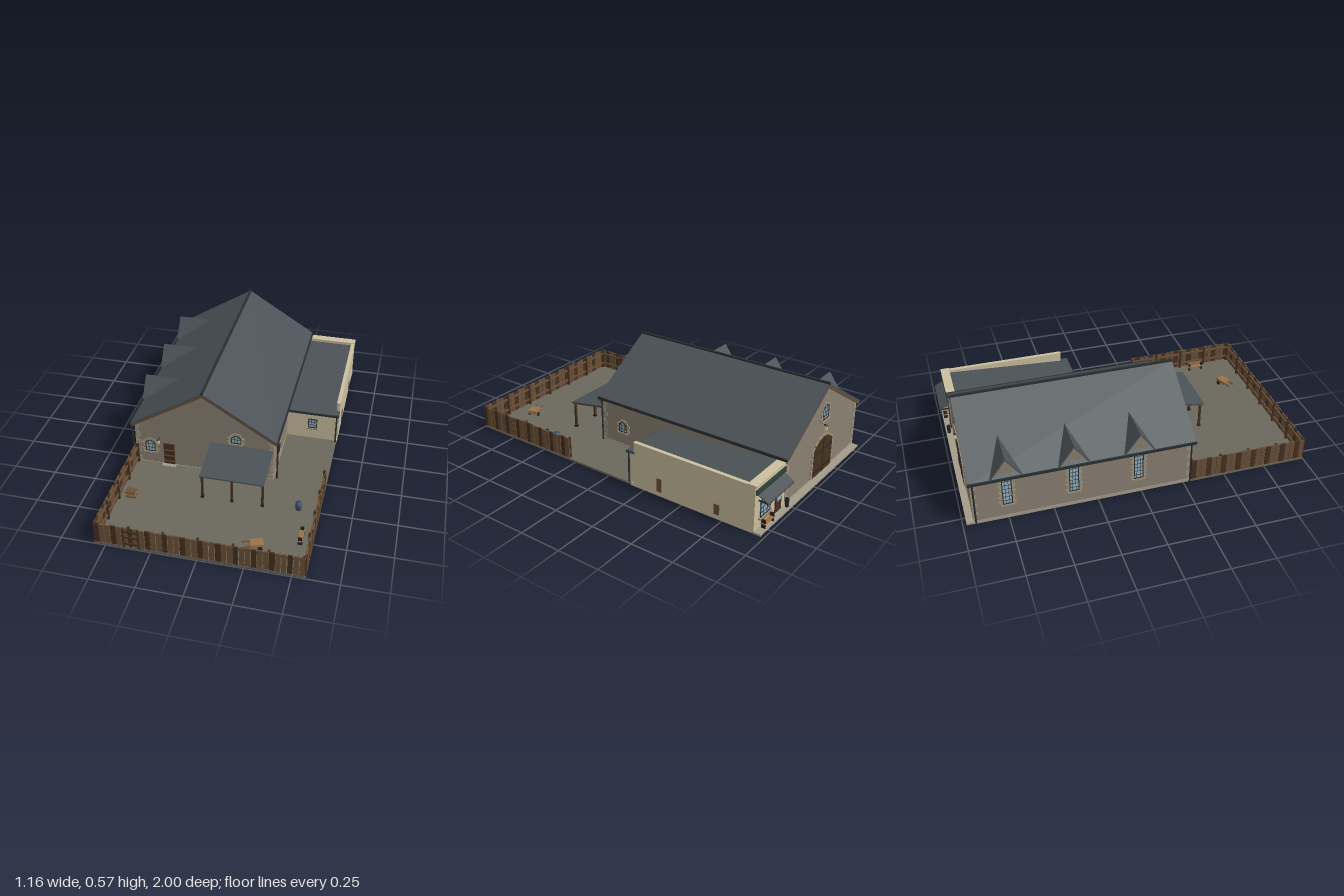
import * as THREE from 'three';

const C = {
  stone: 0x8a8071, quoin: 0x9c8f78, cream: 0xcbbf9f, roof: 0x4b5257, trim: 0x2b2f31, wood: 0x6a5038,
  darkWood: 0x46301f, oak: 0x9a7248, ground: 0x6b675c, floor: 0x55483a, glass: 0x8fb0c0, green: 0x2f4238,
  iron: 0x222426, lamp: 0xf0d890, barrel: 0x3a5068, paving: 0xa59c8a,
};
const mats = {};
const mat = (c) => (mats[c] ??= new THREE.MeshStandardMaterial({ color: C[c], side: THREE.DoubleSide }));
const add = (parent, name, color, geo, x = 0, y = 0, z = 0) => {
  const m = new THREE.Mesh(geo, mat(color));
  m.name = name;
  m.position.set(x, y, z);
  parent.add(m);
  return m;
};
// box given by its extents
const box = (p, name, color, x0, x1, y0, y1, z0, z1) =>
  add(p, name, color, new THREE.BoxGeometry(x1 - x0, y1 - y0, z1 - z0), (x0 + x1) / 2, (y0 + y1) / 2, (z0 + z1) / 2);
const group = (p, name, x = 0, y = 0, z = 0, ry = 0) => {
  const g = new THREE.Group();
  g.name = name;
  g.position.set(x, y, z);
  g.rotation.y = ry;
  p.add(g);
  return g;
};
const poly = (pts) => new THREE.Shape(pts.map(([x, y]) => new THREE.Vector2(x, y)));
const extrude = (shape, depth) => new THREE.ExtrudeGeometry(shape, { depth, bevelEnabled: false, curveSegments: 8 });
const pipe = (p, name, x, y0, y1, z, r = 0.005) =>
  add(p, name, 'trim', new THREE.CylinderGeometry(r, r, y1 - y0, 8), x, (y0 + y1) / 2, z);
const arch = (w, h, rise) => {
  const s = new THREE.Shape();
  s.moveTo(-w / 2, 0).lineTo(w / 2, 0).lineTo(w / 2, h - rise);
  s.quadraticCurveTo(0, h + rise, -w / 2, h - rise).lineTo(-w / 2, 0);
  return s;
};
let seed = 7;
const rand = () => (seed = (seed * 16807) % 2147483647) / 2147483647;

// toothed stones up both jambs and around the arch
function surround(g, w, h, rise) {
  const n = Math.max(3, Math.round((h - rise) / 0.018)), sh = (h - rise) / n;
  for (let i = 0; i < n; i++) for (const s of [-1, 1]) {
    const len = i % 2 ? 0.012 : 0.02, a = s * w / 2, b = s * (w / 2 + len);
    box(g, 'jambStone', 'quoin', Math.min(a, b), Math.max(a, b), i * sh + 0.001, (i + 1) * sh - 0.001, -0.004, 0.005);
  }
  for (let i = 0; i <= 6; i++) {
    const t = i / 6, u = 2 * t - 1;
    const m = add(g, 'archStone', 'quoin', new THREE.BoxGeometry(w / 6, 0.016, 0.009),
      u * w / 2, h - rise * u * u + 0.006, 0.0005);
    m.rotation.z = -Math.atan(4 * rise * u / w);
  }
}
function windowUnit(p, x, y, z, ry, w, h, rise, stones = true) {
  const g = group(p, 'window', x, y, z, ry);
  add(g, 'glass', 'glass', extrude(arch(w, h, rise), 0.003));
  const frame = arch(w, h, rise), hole = arch(w - 0.01, h - 0.01, rise);
  frame.holes.push(new THREE.Path(hole.getPoints(8).map((v) => v.setY(v.y + 0.005))));
  add(g, 'frame', 'trim', extrude(frame, 0.006));
  for (const t of [-1, 1]) box(g, 'mullion', 'trim', t * w / 6 - 0.001, t * w / 6 + 0.001, 0, h - rise * 0.2, 0, 0.005);
  const rows = Math.max(2, Math.round(h / 0.025));
  for (let i = 1; i < rows; i++) box(g, 'glazingBar', 'trim', -w / 2, w / 2, h * i / rows - 0.001, h * i / rows + 0.001, 0, 0.005);
  box(g, 'sill', 'quoin', -w / 2 - 0.01, w / 2 + 0.01, -0.008, 0, -0.004, 0.012);
  if (stones) surround(g, w, h, rise);
}
function lantern(p, x, y, z, ry) {
  const g = group(p, 'lantern', x, y, z, ry);
  box(g, 'bracket', 'iron', -0.003, 0.003, 0.012, 0.018, 0, 0.016);
  box(g, 'lampGlass', 'lamp', -0.006, 0.006, -0.015, 0.01, 0.008, 0.02);
  add(g, 'lampCap', 'iron', new THREE.ConeGeometry(0.012, 0.012, 4), 0, 0.016, 0.014).rotation.y = Math.PI / 4;
}
function fenceRun(p, x, z, ry, len, gate) {
  const g = group(p, 'fence', x, 0, z, ry);
  const n = Math.round(len / 0.031), step = len / n;
  for (let i = 0; i < n; i++) {
    const a = i * step, w = step - 0.001 - rand() * 0.005;
    box(g, 'plank', i % 3 ? 'wood' : 'darkWood', a, a + w, 0.015, 0.137 + rand() * 0.006, -0.004, 0.004);
  }
  for (const y of [0.04, 0.11]) box(g, 'rail', 'wood', 0, len, y, y + 0.012, -0.012, -0.004);
  const posts = Math.round(len / 0.19);
  for (let i = 0; i <= posts; i++) {
    const a = 0.006 + i * (len - 0.012) / posts;
    box(g, 'fencePost', 'darkWood', a - 0.006, a + 0.006, 0.01, 0.143, -0.016, -0.004);
  }
  if (gate) {
    for (const y of [0.03, 0.075, 0.115]) box(g, 'gateRail', 'darkWood', gate - 0.04, gate + 0.04, y, y + 0.01, 0.004, 0.009);
    for (const s of [-1, 1]) box(g, 'gateStile', 'darkWood', gate + s * 0.042 - 0.004, gate + s * 0.042 + 0.004, 0.01, 0.145, 0.003, 0.01);
  }
}
function bench(p, x, z, ry, len) {
  const g = group(p, 'bench', x, 0.012, z, ry);
  box(g, 'seat', 'oak', -len / 2, len / 2, 0.024, 0.029, -0.012, 0.014);
  box(g, 'backrest', 'oak', -len / 2, len / 2, 0.038, 0.055, -0.014, -0.01);
  for (const s of [-1, 1]) box(g, 'benchLeg', 'iron', s * len * 0.42 - 0.003, s * len * 0.42 + 0.003, 0, 0.05, -0.012, 0.012);
}

function barn(root) {
  const g = group(root, 'barn', -0.147, 0, 0);
  const ring = poly([[-0.412, -0.292], [0.412, -0.292], [0.412, 0.942], [-0.412, 0.942]]);
  ring.holes.push(poly([[-0.38, -0.26], [0.38, -0.26], [0.38, 0.91], [-0.38, 0.91]]));
  add(g, 'footing', 'paving', extrude(ring, 0.02)).rotation.x = -Math.PI / 2;
  box(g, 'floor', 'ground', -0.385, 0.385, 0.008, 0.018, -0.915, 0.265);
  add(g, 'walls', 'stone', extrude(poly([[-0.41, 0.018], [0.41, 0.018], [0.41, 0.292], [0, 0.546], [-0.41, 0.292]]), 1.23), 0, 0, -0.94);
  const chevron = (top, t, w) => poly([[-w, top - 0.62 * w], [0, top], [w, top - 0.62 * w], [w, top - 0.62 * w - t], [0, top - t], [-w, top - 0.62 * w - t]]);
  add(g, 'roof', 'roof', extrude(chevron(0.56, 0.012, 0.436), 1.262), 0, 0, -0.954);
  for (const z of [-0.952, 0.29]) add(g, 'bargeBoard', 'wood', extrude(chevron(0.551, 0.017, 0.43), 0.016), 0, 0, z);
  box(g, 'ridgeCap', 'trim', -0.007, 0.007, 0.552, 0.566, -0.955, 0.309);
  for (const s of [-1, 1]) {
    box(g, 'gutter', 'trim', s * 0.432 - 0.006, s * 0.432 + 0.006, 0.28, 0.294, -0.954, 0.308);
    for (const z of [-0.93, 0.28]) pipe(g, 'downpipe', s * 0.432, 0.02, 0.285, z);
    // corner quoins
    for (const z of [-0.94, 0.29]) for (let i = 0; i < 9; i++) {
      const a = i % 2 ? 0.018 : 0.032, b = i % 2 ? 0.032 : 0.018, f = Math.sign(z);
      box(g, 'quoin', 'quoin', s * (0.412 - a / 2) - a / 2, s * (0.412 - a / 2) + a / 2, 0.024 + i * 0.029, 0.05 + i * 0.029,
        z - f * (b / 2 - 0.003) - b / 2, z - f * (b / 2 - 0.003) + b / 2);
    }
  }
  // dormers over tall windows
  for (const z of [-0.75, -0.385, -0.02]) {
    const d = group(g, 'dormer', -0.436, 0, z);
    add(d, 'dormerGable', 'stone', extrude(poly([[-0.075, 0.28], [0.075, 0.28], [0, 0.405]]), 0.12), 0.026, 0, 0).rotation.y = Math.PI / 2;
    for (const s of [-1, 1]) {
      const geo = new THREE.BufferGeometry();
      geo.setAttribute('position', new THREE.Float32BufferAttribute(
        [0, 0.42, 0, 0.21, 0.42, 0, 0, 0.296, s * 0.09, 0, 0.408, 0, 0.21, 0.408, 0, 0, 0.284, s * 0.09], 3));
      geo.setIndex(s > 0 ? [0, 2, 1, 3, 4, 5, 0, 3, 5, 0, 5, 2] : [0, 1, 2, 3, 5, 4, 0, 5, 3, 0, 2, 5]);
      const flat = geo.toNonIndexed();
      flat.computeVertexNormals();
      add(d, 'dormerRoof', 'roof', flat);
    }
    windowUnit(g, -0.411, 0.1, z, -Math.PI / 2, 0.055, 0.18, 0.015);
  }
  // front, side and rear openings
  windowUnit(g, -0.323, 0.1, 0.291, 0, 0.06, 0.08, 0.018);
  windowUnit(g, 0.193, 0.24, 0.291, 0, 0.06, 0.056, 0.018);
  windowUnit(g, 0.411, 0.1, 0.14, Math.PI / 2, 0.055, 0.066, 0.015);
  windowUnit(g, 0, 0.345, -0.941, Math.PI, 0.07, 0.09, 0.02);
  lantern(g, -0.268, 0.184, 0.29, 0);
  lantern(g, 0, 0.295, -0.94, Math.PI);
  box(g, 'backDoor', 'darkWood', -0.243, -0.178, 0.02, 0.167, 0.288, 0.296);
  for (let i = 1; i < 4; i++) box(g, 'doorBatten', 'wood', -0.243, -0.178, i * 0.04, i * 0.04 + 0.006, 0.295, 0.299);
  box(g, 'doorStep', 'paving', -0.25, -0.17, 0.01, 0.022, 0.29, 0.318);
  const d = group(g, 'barnDoor', 0, 0.018, -0.941, Math.PI);
  add(d, 'doorLeaves', 'darkWood', extrude(arch(0.22, 0.22, 0.05), 0.006));
  surround(d, 0.22, 0.22, 0.05);
  box(d, 'doorSplit', 'iron', -0.002, 0.002, 0, 0.218, 0.004, 0.008);
  for (const s of [-1, 1]) for (const y of [0.03, 0.14])
    box(d, 'hinge', 'iron', s * 0.062 - 0.043, s * 0.062 + 0.043, y, y + 0.007, 0.005, 0.009);
}

function annex(root) {
  const g = group(root, 'annex');
  const profile = poly([[0.16, 0.01], [0.16, 0.2], [0.92, 0.245], [0.92, 0.01]]);
  add(g, 'annexWalls', 'cream', extrude(profile, 0.308), 0.57, 0, 0).rotation.y = Math.PI / 2;
  g.children[0].position.x = 0.263;
  box(g, 'annexFloor', 'floor', 0.27, 0.555, 0.006, 0.012, -0.91, -0.17);
  for (const [x0, x1, z0, z1] of [[0.555, 0.575, -0.94, -0.16], [0.265, 0.575, -0.18, -0.16], [0.265, 0.575, -0.94, -0.915]])
    box(g, 'annexFooting', 'cream', x0, x1, 0, 0.02, z0, z1);
  add(g, 'annexRoof', 'roof', extrude(poly([[0.14, 0.203], [0.14, 0.215], [0.9, 0.26], [0.9, 0.248]]), 0.3), 0.263, 0, 0).rotation.y = Math.PI / 2;
  box(g, 'roofEnd', 'roof', 0.55, 0.578, 0.203, 0.218, -0.19, -0.14);
  box(g, 'annexGutter', 'trim', 0.265, 0.578, 0.2, 0.212, -0.145, -0.135);
  pipe(g, 'annexDownpipe', 0.566, 0.015, 0.205, -0.143);
  box(g, 'parapet', 'cream', 0.558, 0.576, 0.012, 0.272, -0.92, -0.185);
  box(g, 'parapetCap', 'cream', 0.556, 0.579, 0.27, 0.276, -0.92, -0.185);
  for (const [z, h] of [[-0.355, 0.11], [-0.72, 0.09]]) box(g, 'sideHatch', 'wood', 0.574, 0.58, 0.03, h, z - 0.016, z + 0.016);
  windowUnit(g, 0.42, 0.09, -0.159, 0, 0.056, 0.066, 0.001, false);
  // shop front
  box(g, 'shopWall', 'cream', 0.268, 0.576, 0.012, 0.275, -0.94, -0.9);
  box(g, 'shopCornice', 'cream', 0.264, 0.58, 0.27, 0.28, -0.948, -0.896);
  box(g, 'fasciaBand', 'green', 0.28, 0.57, 0.222, 0.25, -0.949, -0.938);
  windowUnit(g, 0.475, 0.07, -0.941, Math.PI, 0.1, 0.1, 0.001, false);
  box(g, 'shopDoor', 'darkWood', 0.31, 0.37, 0.014, 0.168, -0.946, -0.938);
  box(g, 'doorGlass', 'glass', 0.32, 0.36, 0.08, 0.155, -0.949, -0.945);
  add(g, 'awning', 'roof', extrude(poly([[0.94, 0.218], [0.998, 0.185], [0.998, 0.172], [0.994, 0.172], [0.994, 0.182], [0.94, 0.212]]), 0.265), 0.283, 0, 0).rotation.y = Math.PI / 2;
  for (const x of [0.29, 0.54]) box(g, 'awningBracket', 'iron', x - 0.003, x + 0.003, 0.176, 0.182, -0.99, -0.938);
  bench(g, 0.475, -0.962, Math.PI, 0.1);
  add(g, 'bin', 'iron', new THREE.CylinderGeometry(0.012, 0.01, 0.05, 10), 0.275, 0.037, -0.962);
  box(root, 'rearPavement', 'paving', -0.557, 0.577, 0, 0.012, -0.98, -0.93);
}

function yard(root) {
  const g = group(root, 'yard');
  box(g, 'yardSlab', 'ground', -0.562, 0.572, 0, 0.012, 0.285, 0.995);
  box(g, 'sideYardSlab', 'ground', 0.26, 0.572, 0, 0.012, -0.165, 0.285);
  fenceRun(g, -0.56, 0.993, 0, 1.13, 0.205);
  fenceRun(g, 0.568, 0.993, Math.PI / 2, 0.7);
  fenceRun(g, -0.558, 0.295, -Math.PI / 2, 0.7);
  // porch
  const p = group(g, 'porch');
  add(p, 'porchRoof', 'roof', extrude(poly([[-0.29, 0.223], [-0.547, 0.179], [-0.547, 0.171], [-0.29, 0.215]]), 0.365), -0.105, 0, 0).rotation.y = Math.PI / 2;
  box(p, 'porchBeam', 'wood', -0.1, 0.256, 0.16, 0.173, 0.52, 0.534);
  for (const x of [-0.095, 0.075, 0.25]) {
    box(p, 'porchPost', 'darkWood', x - 0.006, x + 0.006, 0.012, 0.165, 0.52, 0.532);
    box(p, 'postFoot', 'iron', x - 0.009, x + 0.009, 0.012, 0.024, 0.517, 0.535);
    const r = add(p, 'rafter', 'wood', new THREE.BoxGeometry(0.01, 0.01, 0.25), x, 0.191, 0.415);
    r.rotation.x = 0.17;
  }
  // yard furniture
  const t = group(g, 'crate', -0.49, 0.012, 0.605);
  box(t, 'crateBody', 'oak', -0.026, 0.026, 0, 0.036, -0.018, 0.018);
  for (const y of [0, 0.03]) box(t, 'crateBand', 'wood', -0.029, 0.029, y, y + 0.008, -0.021, 0.021);
  add(g, 'barrel', 'barrel', new THREE.LatheGeometry([[0, 0], [0.016, 0], [0.019, 0.025], [0.016, 0.05], [0, 0.05]].map(([x, y]) => new THREE.Vector2(x, y)), 14), 0.45, 0.012, 0.505);
  bench(g, 0.505, 0.735, -Math.PI / 2, 0.1);
  const w = group(g, 'handcart', 0.28, 0.012, 0.85, 0.35);
  box(w, 'cartTray', 'oak', -0.03, 0.042, 0.02, 0.04, -0.026, 0.026);
  for (const s of [-1, 1]) {
    box(w, 'cartHandle', 'wood', -0.07, -0.02, 0.028, 0.033, s * 0.02 - 0.003, s * 0.02 + 0.003);
    add(w, 'cartWheel', 'iron', new THREE.CylinderGeometry(0.014, 0.014, 0.005, 12), 0.02, 0.014, s * 0.029).rotation.x = Math.PI / 2;
  }
}

export function createModel() {
  const root = new THREE.Group();
  root.name = 'barnWithYard';
  barn(root);
  annex(root);
  yard(root);
  return root;
}
